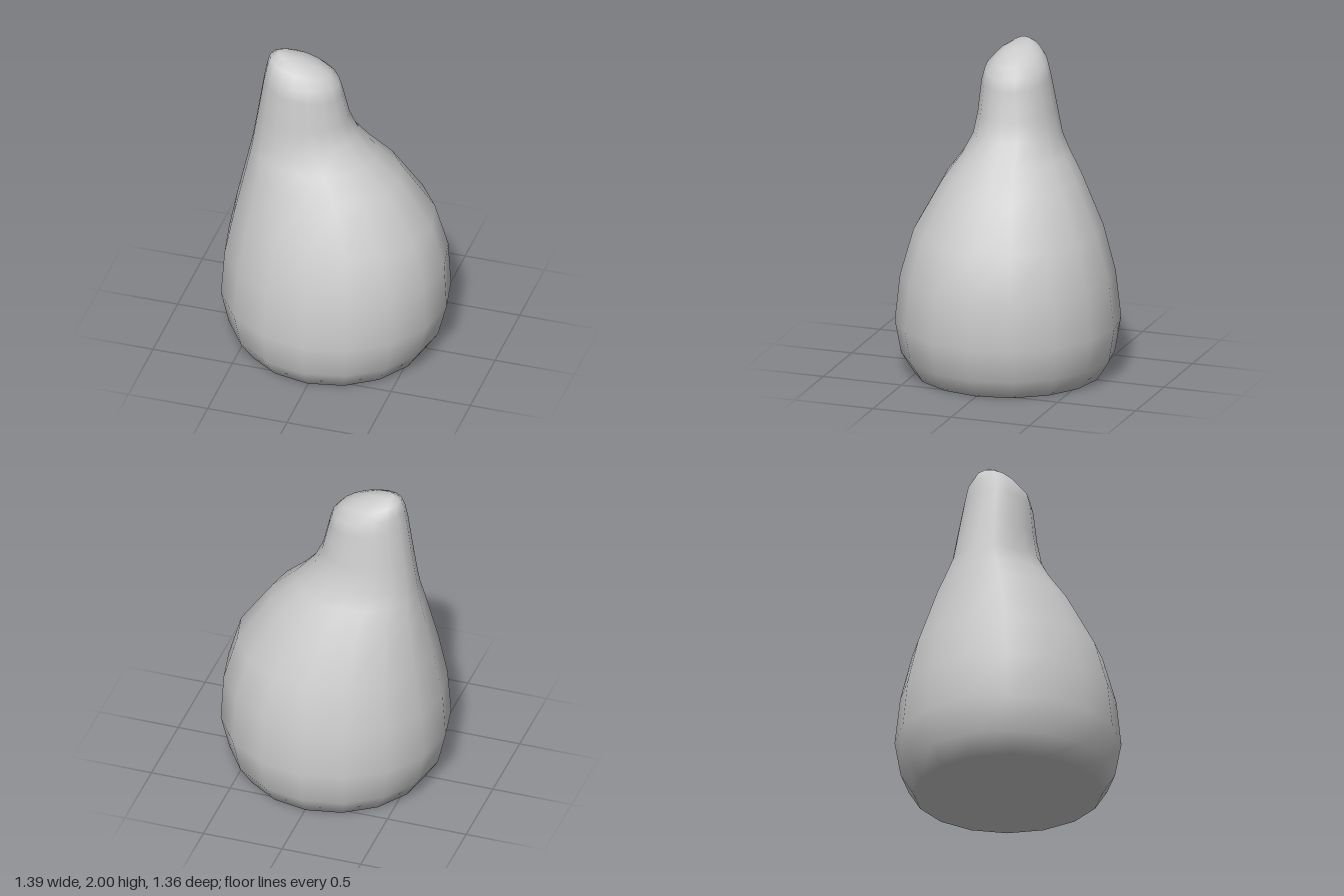
import * as THREE from 'three';

const SIDES = 16;

// Cross-sections from base to tip:
// [left x, left y, right x, right y, half depth, z offset]
const SECTIONS = [
  [-0.57, 0, 0.56, 0, 0.57, 0],
  [-0.65, 0.12, 0.64, 0.12, 0.645, 0],
  [-0.7, 0.33, 0.695, 0.33, 0.68, 0],
  [-0.68, 0.62, 0.68, 0.62, 0.645, 0],
  [-0.625, 0.9, 0.6, 0.9, 0.567, 0],
  [-0.553, 1.22, 0.4, 1.19, 0.41, 0],
  [-0.526, 1.34, 0.25, 1.33, 0.32, 0],
  [-0.512, 1.42, 0.13, 1.47, 0.262, 0.005],
  [-0.482, 1.6, 0.08, 1.58, 0.235, 0.01],
  [-0.446, 1.82, 0.04, 1.76, 0.205, 0.02],
  [-0.428, 1.91, 0.02, 1.83, 0.185, 0.02],
  [-0.41, 1.97, -0.03, 1.89, 0.13, 0.02],
  [-0.36, 2, -0.1, 1.93, 0.07, 0.02],
];

// Lofts tilted elliptical rings into one closed, smooth-shaded skin
function loft(sections, bottom, top) {
  const pos = [];
  const index = [];
  for (const [xl, yl, xr, yr, depth, z] of sections) {
    for (let i = 0; i < SIDES; i++) {
      const a = (i / SIDES) * Math.PI * 2;
      const t = (1 + Math.cos(a)) / 2;
      pos.push(xl + (xr - xl) * t, yl + (yr - yl) * t, z + depth * Math.sin(a));
    }
  }
  const last = (sections.length - 1) * SIDES;
  const b = sections.length * SIDES;
  pos.push(...bottom, ...top);
  for (let i = 0; i < SIDES; i++) {
    const j = (i + 1) % SIDES;
    for (let r = 0; r <= last - SIDES; r += SIDES) {
      index.push(r + i, r + SIDES + i, r + j, r + j, r + SIDES + i, r + SIDES + j);
    }
    index.push(b, i, j); // underside
    index.push(b + 1, last + j, last + i); // tip
  }
  const geo = new THREE.BufferGeometry();
  geo.setAttribute('position', new THREE.Float32BufferAttribute(pos, 3));
  geo.setIndex(index);
  geo.computeVertexNormals();
  return geo;
}

export function createModel() {
  const group = new THREE.Group();
  const material = new THREE.MeshStandardMaterial({ color: 0xcccccc });

  // Rounded body drawn up into an off-centre neck
  const body = new THREE.Mesh(loft(SECTIONS, [0, 0, 0], [-0.21, 1.975, 0.02]), material);
  body.name = 'gourdBody';
  group.add(body);
  return group;
}
